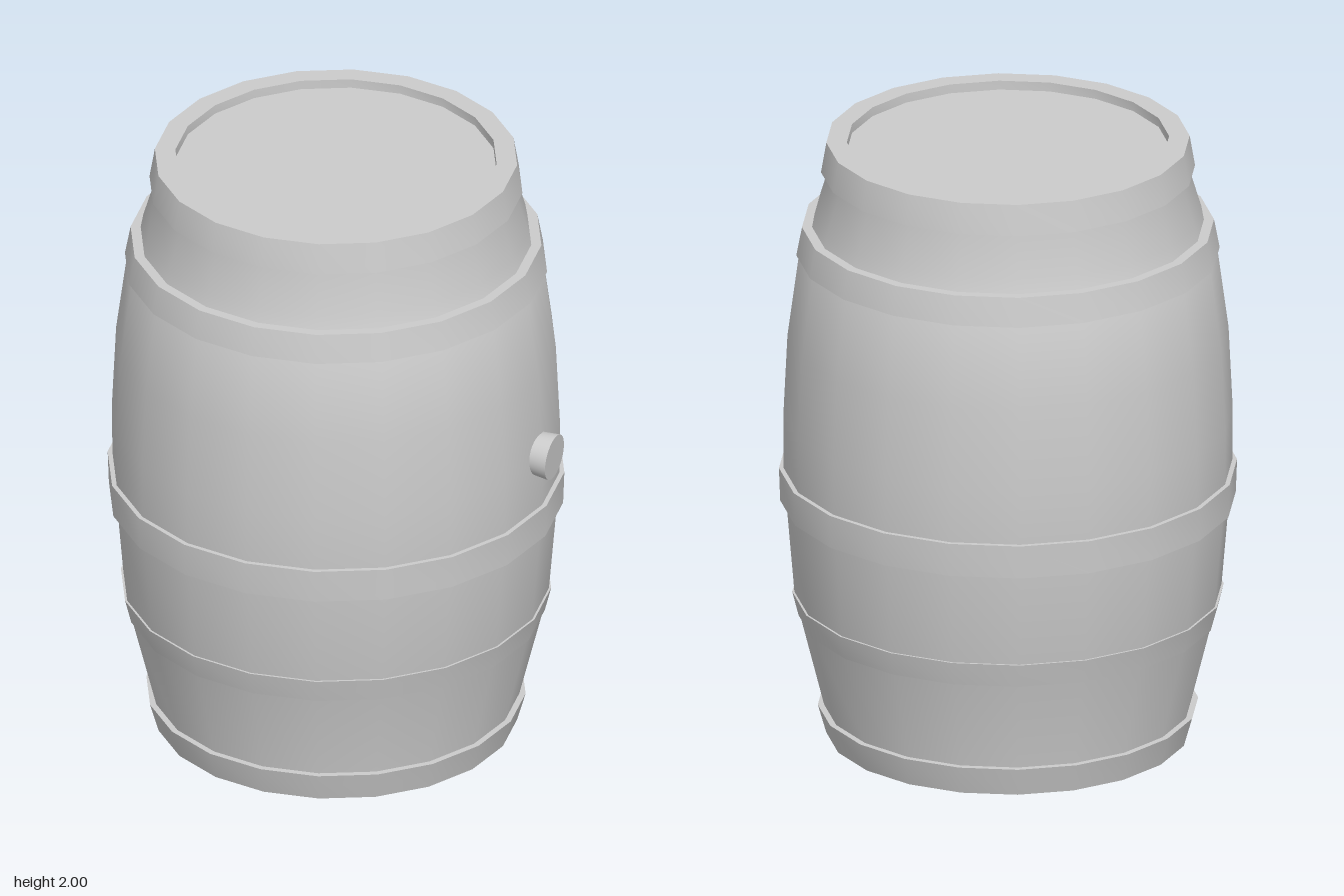
import * as THREE from 'three';
import { toCreasedNormals } from 'three/addons/utils/BufferGeometryUtils.js';

const SIDES = 20;
const material = new THREE.MeshStandardMaterial({ color: 0xcccccc });

// Turns a [radius, height] profile around the vertical axis, keeping sharp steps
function turned(name, profile) {
  const points = profile.map(([r, y]) => new THREE.Vector2(r, y));
  const geometry = toCreasedNormals(new THREE.LatheGeometry(points, SIDES), 0.5);
  const mesh = new THREE.Mesh(geometry, material);
  mesh.name = name;
  return mesh;
}

export function createModel() {
  const model = new THREE.Group();
  model.name = 'barrel';

  const barrel = new THREE.Group();
  barrel.name = 'cask';
  barrel.position.x = -0.02;
  model.add(barrel);

  // Bulging staves with both heads recessed inside the rims
  barrel.add(turned('stavesAndHeads', [
    [0, 0.03], [0.51, 0.03], [0.51, 0], [0.572, 0],
    [0.582, 0.095], [0.658, 0.4], [0.676, 0.48], [0.702, 0.79], [0.71, 0.9],
    [0.711, 1.08], [0.698, 1.35], [0.662, 1.62], [0.637, 1.715],
    [0.612, 1.76], [0.57, 1.9], [0.572, 2], [0.51, 2], [0.51, 1.97], [0, 1.97],
  ].map(([r, y]) => (y === 1.715 ? [0.62, y] : y === 1.76 ? [0.612, y] : [r, y]))));

  // Hoops: [name, bottom height, bottom radius, top height, top radius]
  const hoops = [
    ['bottomHoop', 0, 0.575, 0.095, 0.602],
    ['lowerHoop', 0.4, 0.663, 0.48, 0.683],
    ['middleHoop', 0.79, 0.721, 0.9, 0.725],
    ['upperHoop', 1.62, 0.67, 1.715, 0.652],
    ['topHoop', 1.9, 0.592, 2, 0.575],
  ];
  for (const [name, y0, r0, y1, r1] of hoops) {
    const inner = Math.min(r0, r1) - 0.06;
    barrel.add(turned(name, [[inner, y0], [r0, y0], [r1, y1], [inner, y1]]));
  }

  // Tapered bung in the left side, tipped slightly downwards
  const bung = new THREE.Mesh(new THREE.CylinderGeometry(0.075, 0.064, 0.12, 32), material);
  bung.name = 'bung';
  bung.rotation.z = -Math.PI / 2 - 0.06;
  bung.position.set(0.675, 1.088, 0.006);
  model.add(bung);

  return model;
}
